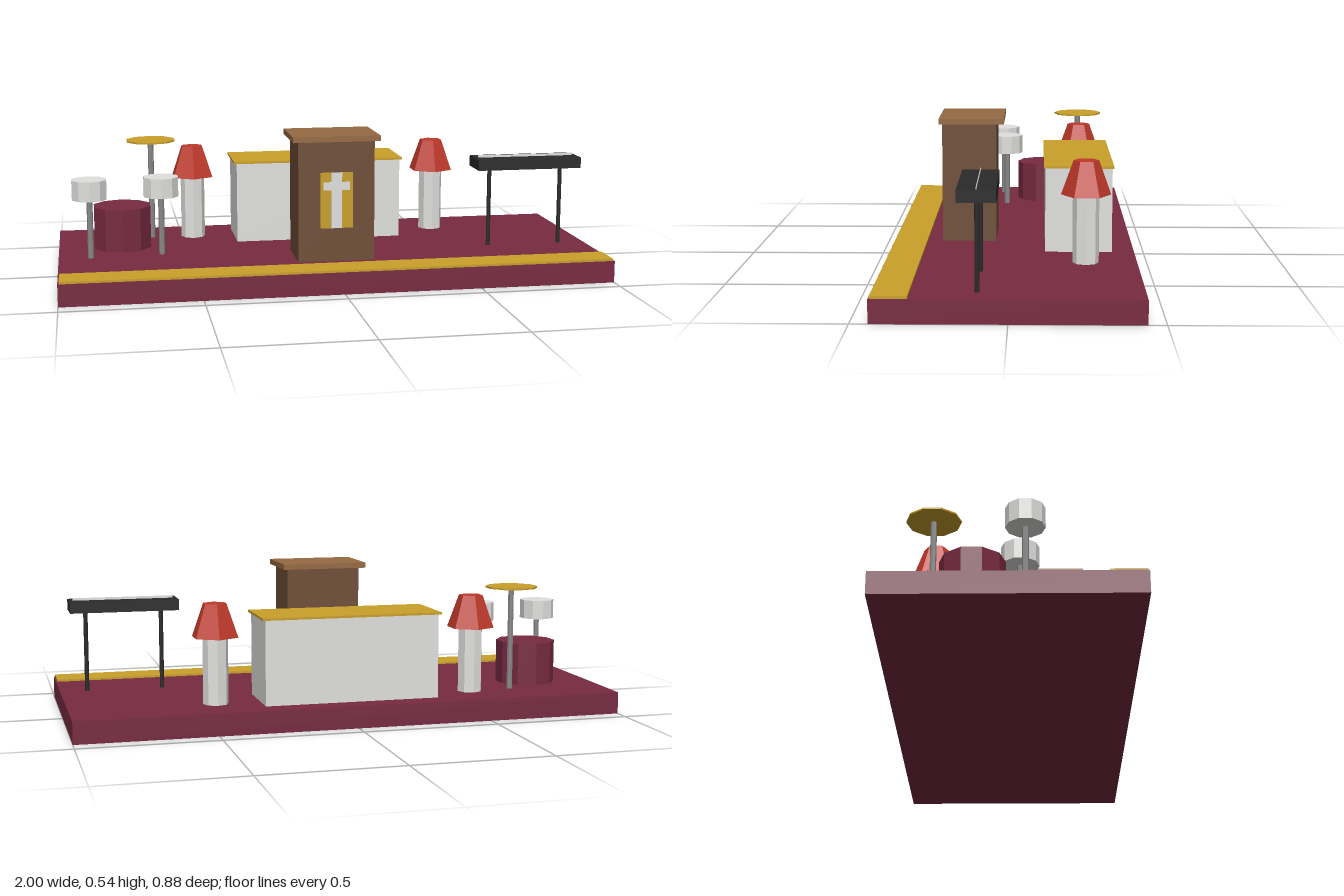
import * as THREE from 'three';

export function createModel() {
  const root = new THREE.Group();
  root.name = 'stage';

  const mat = (name, color) => {
    const m = new THREE.MeshStandardMaterial({ color });
    m.name = name;
    m.flatShading = true;
    return m;
  };
  const burgundy = mat('burgundy', 0x782a41);
  const gold = mat('gold', 0xc9a02a);
  const white = mat('white', 0xe0e0de);
  const darkWood = mat('darkWood', 0x6f4e37);
  const lightWood = mat('lightWood', 0x966a43);
  const red = mat('red', 0xc0392b);
  const black = mat('black', 0x2a2a2a);
  const metal = mat('metal', 0x888888);

  const group = (name, x = 0, z = 0) => {
    const g = new THREE.Group();
    g.name = name;
    g.position.set(x, 0, z);
    root.add(g);
    return g;
  };
  // Box given by its bottom height
  const box = (parent, name, material, w, h, d, x, y, z) => {
    const m = new THREE.Mesh(new THREE.BoxGeometry(w, h, d), material);
    m.name = name;
    m.position.set(x, y + h / 2, z);
    parent.add(m);
  };
  // Upright faceted cylinder between two heights
  const post = (parent, name, material, rTop, rBottom, y0, y1, sides, x = 0, z = 0) => {
    const m = new THREE.Mesh(new THREE.CylinderGeometry(rTop, rBottom, y1 - y0, sides), material);
    m.name = name;
    m.position.set(x, (y0 + y1) / 2, z);
    parent.add(m);
  };

  const FLOOR = 0.08;

  // Platform with gold front trim
  box(root, 'platform', burgundy, 2, FLOOR, 0.88, 0, 0, 0);
  box(root, 'frontTrim', gold, 1.99, 0.008, 0.12, 0, FLOOR, 0.376);

  // Altar table
  const altar = group('altar', 0, -0.24);
  box(altar, 'altarBody', white, 0.64, 0.305, 0.24, 0, FLOOR, 0);
  box(altar, 'altarCloth', gold, 0.66, 0.008, 0.25, 0, 0.385, 0);

  // Lectern with a cross panel
  const lectern = group('lectern', 0, 0.16);
  box(lectern, 'lecternBody', darkWood, 0.28, 0.44, 0.2, 0, FLOOR, 0);
  box(lectern, 'lecternTop', lightWood, 0.32, 0.02, 0.24, 0, 0.52, -0.008);
  box(lectern, 'panel', gold, 0.12, 0.205, 0.003, 0, 0.203, 0.101);
  box(lectern, 'crossUpright', white, 0.04, 0.205, 0.003, 0, 0.203, 0.1025);
  box(lectern, 'crossBar', white, 0.096, 0.03, 0.003, 0, 0.343, 0.1023);

  // Flower stands on both sides
  for (const s of [-1, 1]) {
    const stand = group('flowerStand', s * 0.48, -0.26);
    post(stand, 'pedestal', white, 0.046, 0.046, FLOOR, 0.32, 8);
    post(stand, 'flowers', red, 0.044, 0.087, 0.32, 0.44, 6);
  }

  // Keyboard on two legs
  const keyboard = group('keyboard', 0.76, 0.1);
  box(keyboard, 'keyboardBody', black, 0.4, 0.04, 0.127, 0, 0.38, 0);
  box(keyboard, 'keys', white, 0.37, 0.009, 0.002, 0, 0.42, 0);
  for (const s of [-1, 1]) post(keyboard, 'keyboardLeg', black, 0.008, 0.008, FLOOR, 0.38, 8, s * 0.14);

  // Drum kit
  const drums = group('drumKit');
  post(drums, 'bassDrum', burgundy, 0.111, 0.111, FLOOR, 0.24, 10, -0.76, -0.12);
  for (const [x, z] of [[-0.882, 0.055], [-0.62, 0.037]]) {
    post(drums, 'drumStand', metal, 0.011, 0.011, FLOOR, 0.3, 8, x, z);
    post(drums, 'smallDrum', white, 0.066, 0.066, 0.3, 0.373, 10, x, z);
  }
  post(drums, 'cymbalStand', metal, 0.011, 0.011, FLOOR, 0.462, 8, -0.64, -0.26);
  post(drums, 'cymbal', gold, 0.096, 0.096, 0.462, 0.468, 10, -0.64, -0.26);

  return root;
}
